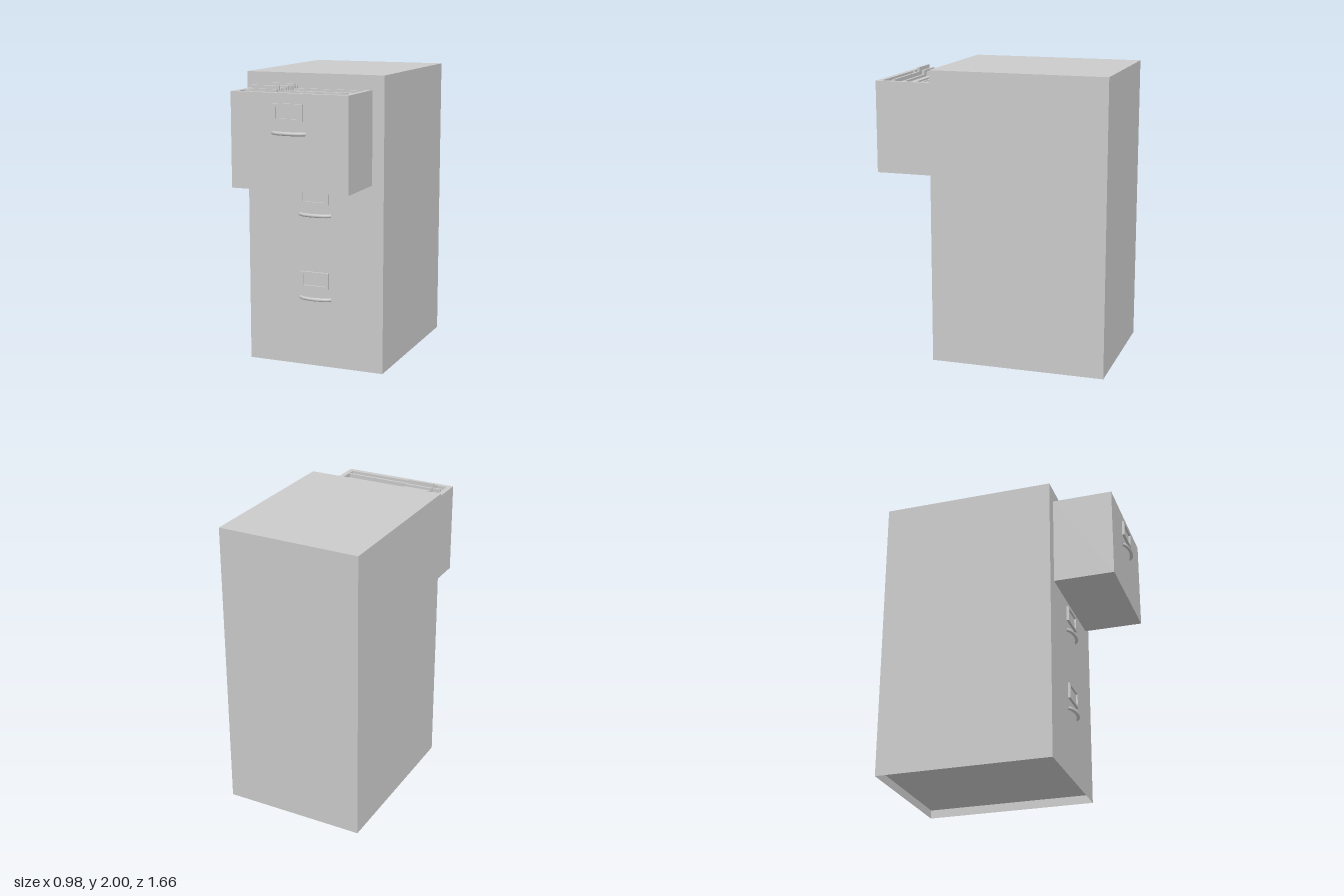
import * as THREE from 'three';

const grey = new THREE.MeshStandardMaterial({ color: 0xcccccc });
const greyDouble = new THREE.MeshStandardMaterial({ color: 0xcccccc, side: THREE.DoubleSide });

const BACK = -0.83, FACE = 0.371, DRAWER_FACE = 0.786;

function add(parent, name, geometry, material = grey) {
  const mesh = new THREE.Mesh(geometry, material);
  mesh.name = name;
  parent.add(mesh);
  return mesh;
}

// Box given by its minimum and maximum corners
function boxBetween([x0, y0, z0], [x1, y1, z1]) {
  return new THREE.BoxGeometry(x1 - x0, y1 - y0, z1 - z0)
    .translate((x0 + x1) / 2, (y0 + y1) / 2, (z0 + z1) / 2);
}

// Cabinet shell: a sheet-metal box, open below, with a recessed floor
function createCabinet() {
  const cabinet = new THREE.Group();
  cabinet.name = 'cabinet';
  const shell = boxBetween([-0.492, 0, BACK], [0.488, 2, FACE]);
  shell.setIndex([...shell.index.array].filter((_, i) => i < 18 || i >= 24));
  shell.clearGroups();
  add(cabinet, 'cabinetShell', shell, greyDouble);
  const floor = new THREE.PlaneGeometry(0.98, FACE - BACK).rotateX(Math.PI / 2);
  add(cabinet, 'cabinetFloor', floor, greyDouble).position.set(-0.002, 0.06, (FACE + BACK) / 2);
  return cabinet;
}

// Open drawer: U-shaped walls around a floor
function createDrawer() {
  const drawer = new THREE.Group();
  drawer.name = 'openDrawer';
  const w = 0.406, inner = 0.37, bottom = 1.28, top = 1.905, frontInner = 0.75;
  const plan = new THREE.Shape([
    [-w, FACE], [-w, DRAWER_FACE], [w, DRAWER_FACE], [w, FACE],
    [inner, FACE], [inner, frontInner], [-inner, frontInner], [-inner, FACE],
  ].map(([x, z]) => new THREE.Vector2(x, -z)));
  const walls = new THREE.ExtrudeGeometry(plan, { depth: top - bottom, bevelEnabled: false });
  add(drawer, 'drawerWalls', walls.rotateX(-Math.PI / 2).translate(0, bottom, 0));
  add(drawer, 'drawerFloor', boxBetween([-inner, bottom, FACE], [inner, bottom + 0.03, frontInner]));
  return drawer;
}

// Hanging files, each a thin sheet with a raised tab of slightly varying height
function createFiles() {
  const files = new THREE.Group();
  files.name = 'files';
  const tabTops = [1.92, 1.935, 1.921, 1.921, 1.926, 1.92, 1.91, 1.92, 1.94, 1.92];
  const half = 0.355, t = 0.0085, tabLeft = -0.305, tabRight = -0.11;
  tabTops.forEach((tabTop, i) => {
    const top = tabTop - 0.03;
    const outline = new THREE.Shape([
      [-half, 1.31], [half, 1.31], [half, top], [tabRight, top],
      [tabRight, tabTop], [tabLeft, tabTop], [tabLeft, top], [-half, top],
    ].map(([x, y]) => new THREE.Vector2(x, y)));
    const sheet = new THREE.ExtrudeGeometry(outline, { depth: 2 * t, bevelEnabled: false });
    add(files, 'file', sheet).position.z = 0.405 + i * 0.0345 - t;
  });
  return files;
}

function rectangle(Type, w, h) {
  return new Type([[-w, -h], [w, -h], [w, h], [-w, h]].map(([x, y]) => new THREE.Vector2(x, y)));
}

// Label holder: raised frame around a card
function createLabelHolder() {
  const holder = new THREE.Group();
  holder.name = 'labelHolder';
  const frame = rectangle(THREE.Shape, 0.104, 0.055);
  frame.holes.push(rectangle(THREE.Path, 0.083, 0.04));
  add(holder, 'labelFrame', new THREE.ExtrudeGeometry(frame, { depth: 0.017, bevelEnabled: false }));
  add(holder, 'labelCard', new THREE.BoxGeometry(0.166, 0.08, 0.004)).position.z = 0.002;
  return holder;
}

// Handle: bowed bar with its ends meeting the drawer face
function createHandle() {
  const path = new THREE.CatmullRomCurve3([
    [-0.112, -0.003], [-0.088, 0.015], [-0.045, 0.026], [0, 0.03],
    [0.045, 0.026], [0.088, 0.015], [0.112, -0.003],
  ].map(([x, z]) => new THREE.Vector3(x, 0, z)));
  const bar = new THREE.TubeGeometry(path, 16, 0.0125, 8, false);
  const handle = new THREE.Group();
  handle.name = 'handle';
  add(handle, 'handleBar', bar, greyDouble);
  return handle;
}

export function createModel() {
  const model = new THREE.Group();
  model.name = 'filingCabinet';
  model.add(createCabinet(), createDrawer(), createFiles());

  // Label holder and handle for each drawer: label height, handle height, face depth
  for (const [labelY, handleY, z] of [
    [1.785, 1.652, DRAWER_FACE], [1.182, 1.053, FACE], [0.605, 0.475, FACE],
  ]) {
    const label = createLabelHolder();
    label.position.set(-0.003, labelY, z);
    const handle = createHandle();
    handle.position.set(0, handleY, z);
    model.add(label, handle);
  }
  return model;
}
